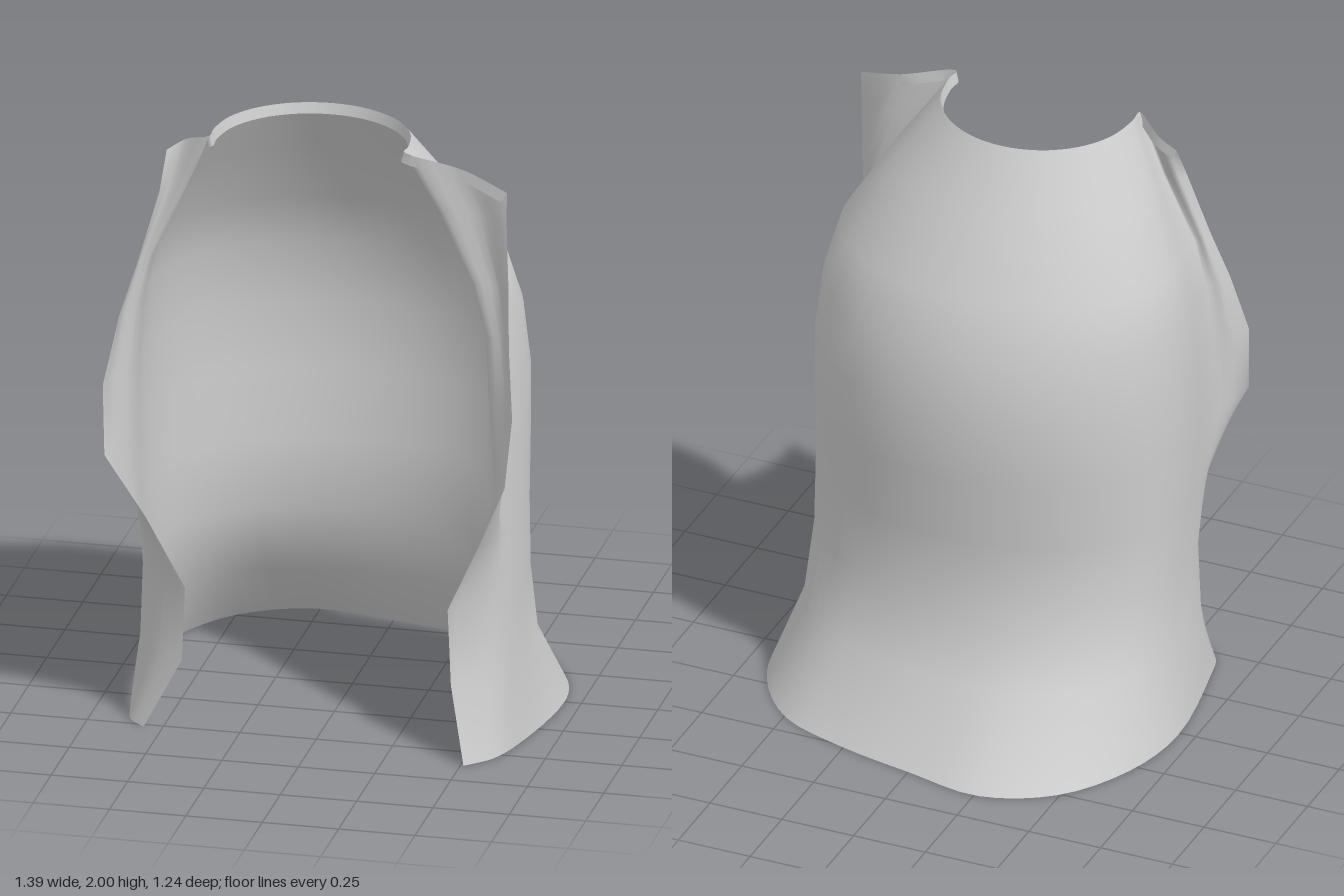
import * as THREE from 'three';

const V = (x, y, z) => new THREE.Vector3(x, y, z);

// Horizontal sections: half-ellipse round the back (centre x, half width, centre z, depth),
// then the free edge and the fold of each front panel as [x, z] or [x, z, y]
const SECTIONS = [
  { y: 0.00, back: [0, 0.695, 0.00, 0.56], right: [[-0.56, 0.52], [-0.64, 0.37]], left: [[0.51, 0.62], [0.63, 0.42]] },
  { y: 0.24, back: [-0.005, 0.625, 0.08, 0.45], right: [[-0.435, 0.52], [-0.605, 0.37]], left: [[0.45, 0.54], [0.60, 0.40]] },
  { y: 0.48, back: [-0.005, 0.615, 0.13, 0.42], right: [[-0.43, 0.50], [-0.595, 0.37]], left: [[0.43, 0.50], [0.59, 0.39]] },
  { y: 0.72, back: [-0.01, 0.62, 0.15, 0.445], right: [[-0.555, 0.52], [-0.61, 0.38]], left: [[0.54, 0.53], [0.59, 0.40]] },
  { y: 0.95, back: [-0.01, 0.625, 0.17, 0.49], right: [[-0.67, 0.60], [-0.62, 0.44]], left: [[0.64, 0.60], [0.565, 0.44]] },
  { y: 1.18, back: [-0.01, 0.625, 0.17, 0.50], right: [[-0.68, 0.58], [-0.62, 0.44]], left: [[0.66, 0.58], [0.55, 0.44]] },
  { y: 1.40, back: [-0.01, 0.605, 0.19, 0.485], right: [[-0.64, 0.52], [-0.60, 0.43]], left: [[0.635, 0.52], [0.54, 0.43]] },
  { y: 1.57, back: [-0.015, 0.565, 0.21, 0.43], right: [[-0.59, 0.48], [-0.56, 0.42]], left: [[0.625, 0.48], [0.49, 0.41]] },
  { y: 1.80, back: [-0.03, 0.44, 0.29, 0.37], right: [[-0.53, 0.43], [-0.455, 0.41]], left: [[0.61, 0.445], [0.38, 0.40]] },
  { y: 2.00, back: [-0.05, 0.32, 0.36, 0.31], right: [[-0.52, 0.37, 1.92], [-0.37, 0.42]], left: [[0.61, 0.44, 1.9], [0.27, 0.42]] },
];

// Uneven sway of the hem round the back, from the right side to the left
const HEM_WAVE = [-0.02, -0.066, -0.114, -0.098, -0.01, 0.007, -0.024, -0.016, -0.02];

// Front panel from free edge to fold, bowed forward at the bottom and backward at the top
function panel([edge, fold], y) {
  const place = ([x, z, py = y]) => V(x, py, z);
  const a = place(edge), b = place(fold);
  const middle = a.clone().lerp(b, 0.5);
  middle.x += 0.015 * Math.sign(middle.x);
  middle.z += 0.02 - 0.025 * y;
  return [a, middle, b];
}

// Smooth open row from the right free edge, round the back, to the left free edge
function sectionRow({ y, back: [cx, a, cz, b], right, left }) {
  const sway = Math.max(0, 1 - y / 0.32);
  const round = HEM_WAVE.map((w, i) => {
    const t = (i / (HEM_WAVE.length - 1)) * Math.PI;
    return V(cx - a * Math.cos(t), y, cz - b * Math.sin(t) + w * sway);
  });
  const points = [...panel(right, y), ...round, ...panel(left, y).reverse()];
  const row = new THREE.CatmullRomCurve3(points).getPoints((points.length - 1) * 4);
  row.forEach((p) => { p.y = Math.min(p.y, y); });
  return row;
}

// Skin a list of equal-length rows, running bottom to top
function skin(rows) {
  const n = rows[0].length, index = [];
  for (let r = 0; r < rows.length - 1; r++) {
    for (let c = 0; c < n - 1; c++) {
      const a = r * n + c, b = a + 1, d = a + n, e = d + 1;
      index.push(a, d, b, b, d, e);
    }
  }
  const geometry = new THREE.BufferGeometry().setFromPoints(rows.flat());
  geometry.setIndex(index);
  geometry.computeVertexNormals();
  return geometry;
}

export function createModel() {
  const group = new THREE.Group();
  group.name = 'cloak';
  const cloth = new THREE.MeshStandardMaterial({ color: 0xcccccc, side: THREE.DoubleSide });
  cloth.name = 'grey cloth';

  const add = (name, rows) => {
    const mesh = new THREE.Mesh(skin(rows), cloth);
    mesh.name = name;
    group.add(mesh);
  };

  // Body with front panels that curl in at the bottom and fold outward above
  const rows = SECTIONS.map(sectionRow);
  add('body', rows);

  // Turned-in lip along the neckline and the tops of the lapels
  const neck = rows[rows.length - 1];
  const lip = neck.map((p) => V(-0.05 + (p.x + 0.05) * 0.97, p.y - 0.035, 0.37 + (p.z - 0.37) * 0.97));
  add('neckLip', [neck, lip]);

  return group;
}
